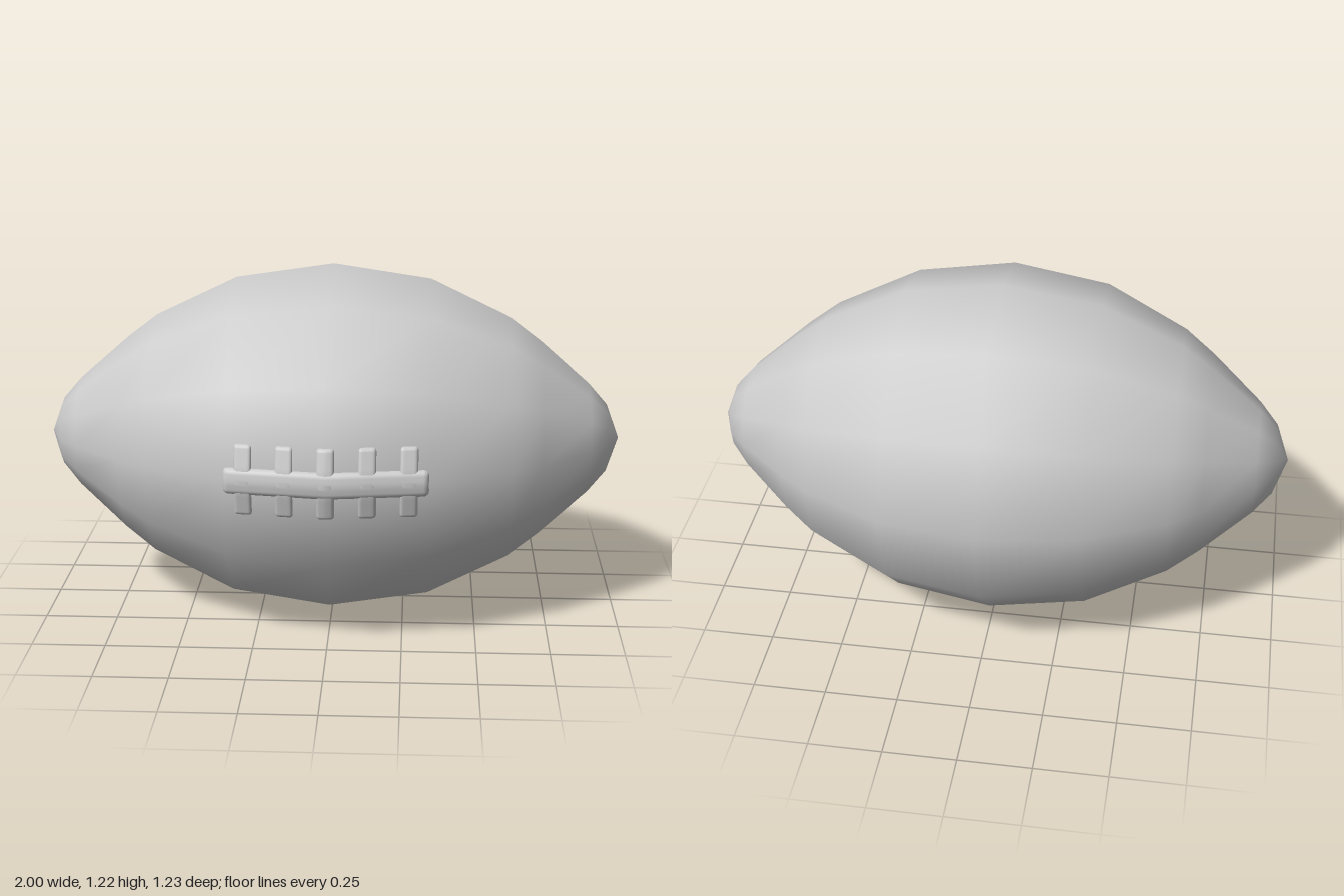
import * as THREE from 'three';
import { mergeVertices } from 'three/addons/utils/BufferGeometryUtils.js';

const R = 0.61;            // widest radius, also the height of the long axis
const RIDGE_Z = 0.605;     // front ridge of the ball at x = 0
const END_SLOPE = 0.145;   // how fast the ridge falls away along x
const SIDE_SLOPE = 0.268;  // how fast the facets fall away along y

// Rounded block whose grid has lines through its middle, bent to lie on the ball
function bentStrip(w, h, d, r, x0, lift, sideSlope) {
  const geo = new THREE.BoxGeometry(2, 2, 2, 10, 10, 10);
  geo.deleteAttribute('normal');
  geo.deleteAttribute('uv');
  const pos = geo.attributes.position;
  const half = [w / 2, h / 2, d / 2];
  const v = new THREE.Vector3();
  for (let i = 0; i < pos.count; i++) {
    const t = v.fromBufferAttribute(pos, i).toArray();
    const corner = new THREE.Vector3(
      ...t.map((a) => Math.sign(a) * Math.max(0, (Math.abs(a) - 0.4) / 0.6))
    ).normalize().multiplyScalar(r);
    const inner = t.map((a, k) => Math.max(-1, Math.min(1, a / 0.4)) * (half[k] - r));
    v.set(...inner).add(corner);
    v.x += x0;
    v.z += RIDGE_Z + lift - END_SLOPE * Math.abs(v.x) - sideSlope * Math.abs(v.y);
    pos.setXYZ(i, v.x, v.y + R, v.z);
  }
  const smooth = mergeVertices(geo, 1e-5);
  smooth.computeVertexNormals();
  return smooth;
}

export function createModel() {
  const group = new THREE.Group();
  const material = new THREE.MeshStandardMaterial({ color: 0xcccccc });
  const add = (name, geo, parent = group) => {
    const mesh = new THREE.Mesh(geo, material);
    mesh.name = name;
    parent.add(mesh);
    return mesh;
  };

  // Ball: a mirrored profile turned in twelve sides about the long axis
  const side = [[0, 1], [0.12, 0.955], [0.195, 0.89], [0.345, 0.72], [0.425, 0.615], [0.56, 0.335]];
  const profile = [
    ...side.map(([r, x]) => new THREE.Vector2(r, -x)),
    new THREE.Vector2(R, 0),
    ...side.map(([r, x]) => new THREE.Vector2(r, x)).reverse(),
  ];
  const body = new THREE.LatheGeometry(profile, 12);
  body.rotateZ(-Math.PI / 2);
  body.translate(0, R, RIDGE_Z - R);
  add('ballBody', body);

  // Laces: one long bar and five cross stitches
  const laces = new THREE.Group();
  laces.name = 'laces';
  group.add(laces);
  add('laceBar', bentStrip(0.67, 0.09, 0.044, 0.019, 0, -0.012, 0.15), laces);
  for (let i = -2; i <= 2; i++) {
    add('laceStitch', bentStrip(0.058, 0.24, 0.03, 0.012, i * 0.135, -0.004, SIDE_SLOPE), laces);
  }
  return group;
}
